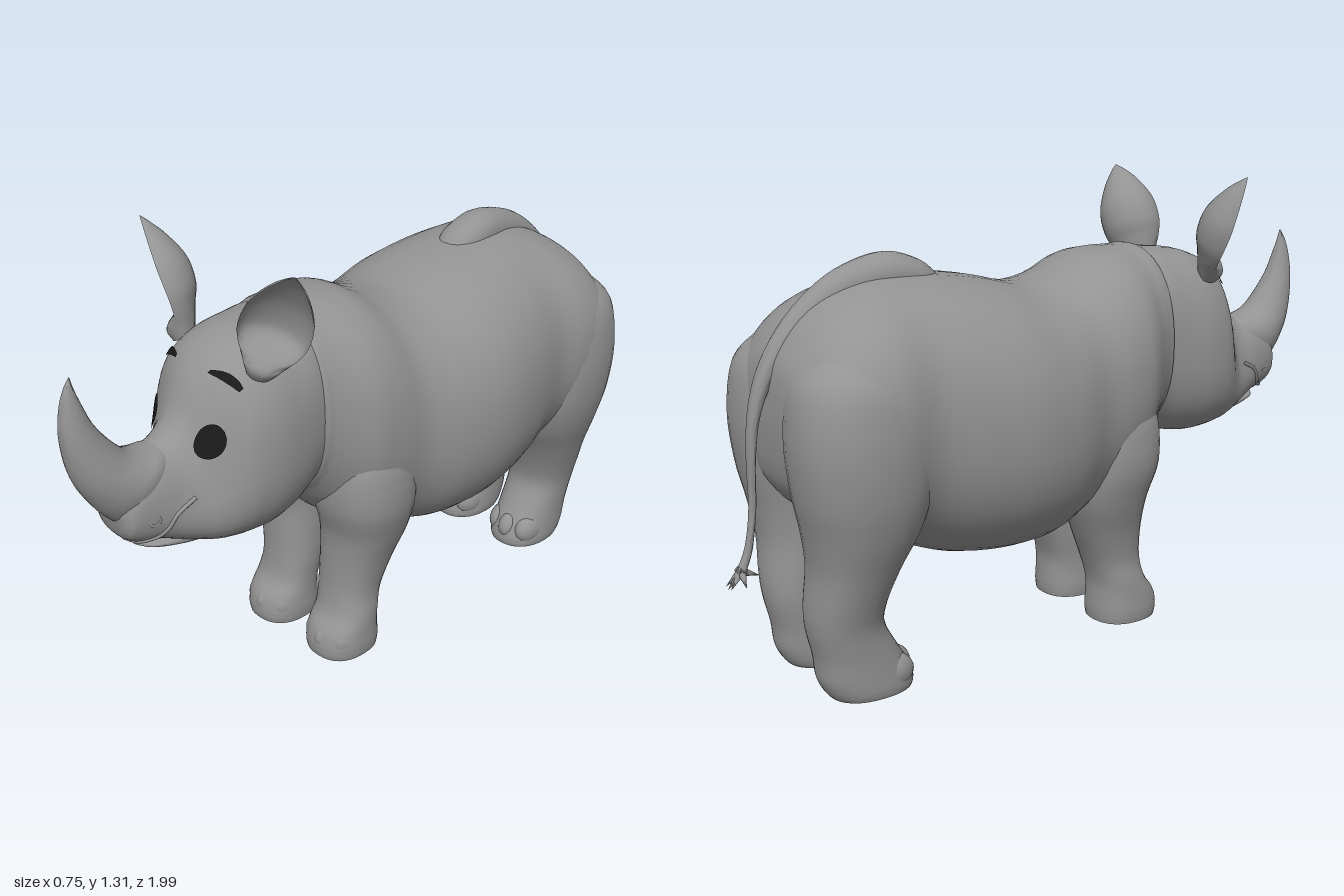
import * as THREE from 'three';
import { toCreasedNormals } from 'three/addons/utils/BufferGeometryUtils.js';

const skin = new THREE.MeshStandardMaterial({ color: 0x939393 });
skin.name = 'grey skin';
const dark = new THREE.MeshStandardMaterial({ color: 0x1a1a1a });
dark.name = 'dark eye';

// Smooth value through the control sections
function spline(rows, k, t) {
  const n = rows.length, i = Math.min(Math.floor(t), n - 2), f = t - i;
  const at = (j) => rows[Math.max(0, Math.min(n - 1, j))][k] ?? 0;
  const [a, b, c, d] = [at(i - 1), at(i), at(i + 1), at(i + 2)];
  return b + 0.5 * f * (c - a + f * (2 * a - 5 * b + 4 * c - d + f * (3 * (b - c) + d - a)));
}

// Skin over oval sections, each [z1, y1, z2, y2, halfWidth, xCentre, pear]:
// two opposite edge points in the side plane, a half width across x,
// and how much narrower the first edge is than the second
function loft(rows, { squareness = 1, side = 1, segs = 32, steps = 4 } = {}) {
  const pos = [], idx = [], rings = (rows.length - 1) * steps + 1;
  const bend = (v) => Math.sign(v) * Math.abs(v) ** squareness;
  for (let i = 0; i < rings; i++) {
    const [z1, y1, z2, y2, w, x, pear] = [0, 1, 2, 3, 4, 5, 6].map((k) => spline(rows, k, i / steps));
    for (let j = 0; j < segs; j++) {
      const a = (j / segs) * Math.PI * 2, c = bend(Math.cos(a)), s = bend(Math.sin(a));
      pos.push(side * x + Math.max(w, 0.001) * c * (1 - pear * s), (y1 + y2) / 2 + (y1 - y2) / 2 * s, (z1 + z2) / 2 + (z1 - z2) / 2 * s);
    }
  }
  const m = rows.length >> 1, p = rows[m - 1], q = rows[m];
  const dz = q[0] + q[2] - p[0] - p[2], dy = q[1] + q[3] - p[1] - p[3];
  const flip = (q[1] - q[3]) * dz - (q[0] - q[2]) * dy < 0;
  const tri = (a, b, c) => (flip ? idx.push(a, c, b) : idx.push(a, b, c));
  for (let i = 0; i < rings - 1; i++) {
    for (let j = 0; j < segs; j++) {
      const a = i * segs + j, b = i * segs + (j + 1) % segs;
      tri(a, b, a + segs);
      tri(b, b + segs, a + segs);
    }
  }
  const last = (rings - 1) * segs;
  for (let j = 1; j < segs - 1; j++) {
    tri(0, j + 1, j);
    tri(last, last + j, last + j + 1);
  }
  const g = new THREE.BufferGeometry();
  g.setAttribute('position', new THREE.Float32BufferAttribute(pos, 3));
  g.setIndex(idx);
  return toCreasedNormals(g, 1);
}

export function createModel() {
  const model = new THREE.Group();
  const add = (name, geometry, material = skin) => {
    const mesh = new THREE.Mesh(geometry, material);
    mesh.name = name;
    model.add(mesh);
    return mesh;
  };

  // Barrel body, rump to neck fold
  add('body', loft([
    [-0.862, 0.84, -0.862, 0.64, 0.17], [-0.845, 0.91, -0.845, 0.57, 0.24], [-0.79, 0.99, -0.79, 0.50, 0.31],
    [-0.72, 1.045, -0.72, 0.46, 0.342], [-0.63, 1.08, -0.63, 0.41, 0.348], [-0.53, 1.095, -0.53, 0.36, 0.334],
    [-0.40, 1.09, -0.40, 0.31, 0.36], [-0.25, 1.068, -0.25, 0.288, 0.376], [-0.10, 1.035, -0.10, 0.292, 0.352],
    [0.02, 1.055, 0.02, 0.33, 0.307], [0.12, 1.10, 0.12, 0.37, 0.3], [0.20, 1.11, 0.20, 0.42, 0.286],
    [0.27, 1.11, 0.27, 0.49, 0.24], [0.31, 1.113, 0.31, 0.54, 0.218], [0.33, 1.10, 0.33, 0.56, 0.207],
    [0.332, 1.04, 0.332, 0.62, 0.15],
  ], { squareness: 0.9, segs: 48 }));

  // Head running into a blunt snout
  const head = add('head', loft([
    [0.30, 1.085, 0.30, 0.58, 0.2], [0.34, 1.098, 0.34, 0.558, 0.207], [0.40, 1.095, 0.40, 0.53, 0.215, 0, 0.04],
    [0.48, 1.085, 0.48, 0.515, 0.221, 0, 0.06], [0.55, 1.06, 0.55, 0.517, 0.21, 0, 0.08], [0.59, 1.03, 0.59, 0.522, 0.19, 0, 0.14],
    [0.63, 0.98, 0.63, 0.53, 0.155, 0, 0.3], [0.67, 0.90, 0.67, 0.545, 0.128, 0, 0.38], [0.72, 0.85, 0.72, 0.565, 0.114, 0, 0.28],
    [0.78, 0.835, 0.78, 0.59, 0.103, 0, 0.12], [0.835, 0.81, 0.835, 0.602, 0.092], [0.87, 0.77, 0.87, 0.625, 0.078],
    [0.885, 0.74, 0.885, 0.655, 0.055],
  ], { squareness: 0.82, segs: 48 }));

  add('lowerJaw', loft([
    [0.60, 0.60, 0.60, 0.525, 0.08], [0.68, 0.60, 0.68, 0.54, 0.085],
    [0.75, 0.60, 0.75, 0.557, 0.075], [0.80, 0.598, 0.80, 0.57, 0.055], [0.825, 0.594, 0.825, 0.58, 0.025],
  ]));

  add('horn', loft([
    [0.84, 0.63, 0.69, 0.80, 0.07], [0.905, 0.70, 0.72, 0.838, 0.088], [0.94, 0.75, 0.775, 0.845, 0.083],
    [0.972, 0.81, 0.825, 0.862, 0.071], [0.992, 0.88, 0.868, 0.905, 0.056], [1.0, 0.96, 0.91, 0.965, 0.039],
    [0.992, 1.03, 0.936, 1.03, 0.023], [0.977, 1.075, 0.951, 1.075, 0.011], [0.96, 1.103, 0.957, 1.103, 0.002],
  ]));

  // Point on the face in front of (x, y), raised a little
  head.updateMatrixWorld();
  const ray = new THREE.Raycaster();
  const onFace = (x, y, lift) => {
    ray.set(new THREE.Vector3(x, y, 2), new THREE.Vector3(0, 0, -1));
    const hit = ray.intersectObject(head)[0];
    return hit ? hit.point.addScaledVector(hit.face.normal, lift) : new THREE.Vector3(x, y, 0.6);
  };
  // Lay a thin flat shape onto the face
  const drape = (geometry) => {
    const p = geometry.attributes.position;
    for (let i = 0; i < p.count; i++) p.setXYZ(i, ...onFace(p.getX(i), p.getY(i), 0.005));
    geometry.computeVertexNormals();
    return geometry;
  };

  const earRows = [
    [0.03, -0.05, -0.03, -0.05, 0.035], [0.045, -0.01, -0.045, -0.01, 0.055], [0.065, 0.03, -0.06, 0.03, 0.077],
    [0.085, 0.08, -0.08, 0.08, 0.092], [0.08, 0.15, -0.08, 0.15, 0.088], [0.05, 0.22, -0.05, 0.22, 0.057],
    [0.02, 0.265, -0.02, 0.265, 0.025], [0.002, 0.288, -0.002, 0.288, 0.002],
  ];

  for (const side of [1, -1]) {
    const tag = side > 0 ? 'left' : 'right';

    add(tag + 'FrontLeg', loft([
      [0.21, 0.72, 0.05, 0.72, 0.07, 0.185], [0.26, 0.64, 0.01, 0.64, 0.12, 0.17],
      [0.27, 0.51, -0.005, 0.51, 0.142, 0.155], [0.243, 0.40, 0.005, 0.40, 0.125, 0.143], [0.24, 0.30, 0.04, 0.30, 0.105, 0.13],
      [0.245, 0.20, 0.08, 0.20, 0.093, 0.123], [0.26, 0.13, 0.10, 0.13, 0.094, 0.129], [0.296, 0.08, 0.10, 0.08, 0.096, 0.13],
      [0.308, 0.03, 0.097, 0.03, 0.098, 0.13], [0.304, 0, 0.10, 0, 0.094, 0.13],
    ], { side, squareness: 0.85 }));

    add(tag + 'HindLeg', loft([
      [-0.58, 0.95, -0.80, 0.93, 0.10, 0.165], [-0.53, 0.86, -0.86, 0.86, 0.16, 0.172],
      [-0.505, 0.72, -0.88, 0.72, 0.178, 0.177], [-0.51, 0.58, -0.868, 0.58, 0.172, 0.175], [-0.54, 0.47, -0.845, 0.47, 0.152, 0.168],
      [-0.59, 0.37, -0.832, 0.37, 0.128, 0.155], [-0.625, 0.27, -0.838, 0.27, 0.11, 0.14], [-0.63, 0.20, -0.835, 0.20, 0.10, 0.132],
      [-0.59, 0.12, -0.818, 0.12, 0.097, 0.13], [-0.555, 0.06, -0.812, 0.06, 0.097, 0.13], [-0.543, 0.02, -0.795, 0.02, 0.097, 0.13],
      [-0.547, 0, -0.78, 0, 0.092, 0.13],
    ], { side, squareness: 0.88 }));

    // Three soft toes sunk into each foot
    for (const z of [0.245, -0.604]) {
      for (const t of [-1, 0, 1]) {
        const toe = add(tag + 'Toe', new THREE.SphereGeometry(1, 20, 14));
        toe.position.set(side * 0.13 + t * 0.052, 0.052, z - Math.abs(t) * 0.018);
        toe.scale.set(0.04, 0.052, 0.063);
      }
    }

    // Ear: the front half is gradually pushed back to make a hollow cup
    const ear = loft(earRows, { steps: 5 });
    const p = ear.attributes.position;
    for (let i = 0; i < p.count; i++) {
      const cup = THREE.MathUtils.smoothstep(p.getY(i), -0.03, 0.06);
      if (p.getZ(i) > 0) p.setZ(i, p.getZ(i) * (1 - 1.7 * cup));
    }
    const earMesh = add(tag + 'Ear', toCreasedNormals(ear, 0.9));
    earMesh.position.set(side * 0.173, 1.055, 0.505);
    earMesh.rotation.set(0.02, side * 0.65, side * -0.46, 'ZXY');

    // Eye and eyebrow
    const eye = new THREE.RingGeometry(0.001, 1, 28, 5);
    eye.scale(0.034, 0.045, 1).translate(side * 0.113, 0.852, 0);
    add(tag + 'Eye', drape(eye), dark);
    const brow = new THREE.PlaneGeometry(0.09, 0.015, 14, 2);
    const b = brow.attributes.position;
    for (let i = 0; i < b.count; i++) {
      const u = b.getX(i) / 0.045;
      b.setY(i, b.getY(i) * (1.1 - 0.6 * u * u) - 0.01 * u * u);
    }
    brow.rotateZ(side * -0.38).translate(side * 0.11, 1.007, 0);
    add(tag + 'Eyebrow', drape(brow), dark);

    // Nostril rim
    const nostril = add(tag + 'Nostril', new THREE.TorusGeometry(0.014, 0.005, 8, 18));
    nostril.position.set(side * 0.092, 0.685, 0.815);
    nostril.rotation.y = side * 1.3;

    // Lip fold curling up into a smile
    const fold = [[0, 0.61], [0.05, 0.614], [0.082, 0.627], [0.1, 0.65], [0.11, 0.685], [0.117, 0.715]];
    const curve = new THREE.CatmullRomCurve3(fold.map(([x, y]) => onFace(side * x, y, 0)));
    add(tag + 'SmileFold', new THREE.TubeGeometry(curve, 30, 0.006, 8));
  }

  // Tail rising from the back, then hanging down
  add('tail', loft([
    [-0.36, 1.085, -0.38, 1.05, 0.04], [-0.41, 1.125, -0.42, 1.02, 0.064], [-0.50, 1.152, -0.50, 1.03, 0.066],
    [-0.60, 1.136, -0.57, 1.02, 0.056], [-0.70, 1.09, -0.66, 1.00, 0.047], [-0.80, 1.005, -0.755, 0.955, 0.038],
    [-0.875, 0.895, -0.83, 0.87, 0.03], [-0.913, 0.78, -0.88, 0.77, 0.021], [-0.925, 0.65, -0.90, 0.65, 0.014],
    [-0.926, 0.52, -0.906, 0.52, 0.011], [-0.942, 0.42, -0.922, 0.41, 0.01], [-0.967, 0.36, -0.945, 0.35, 0.014],
  ], { segs: 20 }));

  // Pointed tuft of hair at the tail's end
  const tuft = (x, y, z) => {
    const cone = add('tailTuft', new THREE.ConeGeometry(0.015, 0.065, 8));
    const dir = new THREE.Vector3(x, y, z).normalize();
    cone.position.set(0, 0.355, -0.957).addScaledVector(dir, 0.024);
    cone.quaternion.setFromUnitVectors(new THREE.Vector3(0, 1, 0), dir);
  };
  for (let i = 0; i < 5; i++) {
    const a = (i / 5) * Math.PI * 2;
    tuft(Math.sin(a) * 0.6, -0.5 + 0.35 * Math.cos(a), -0.25 + 0.6 * Math.cos(a));
  }
  tuft(0, -1, -0.9);
  return model;
}
